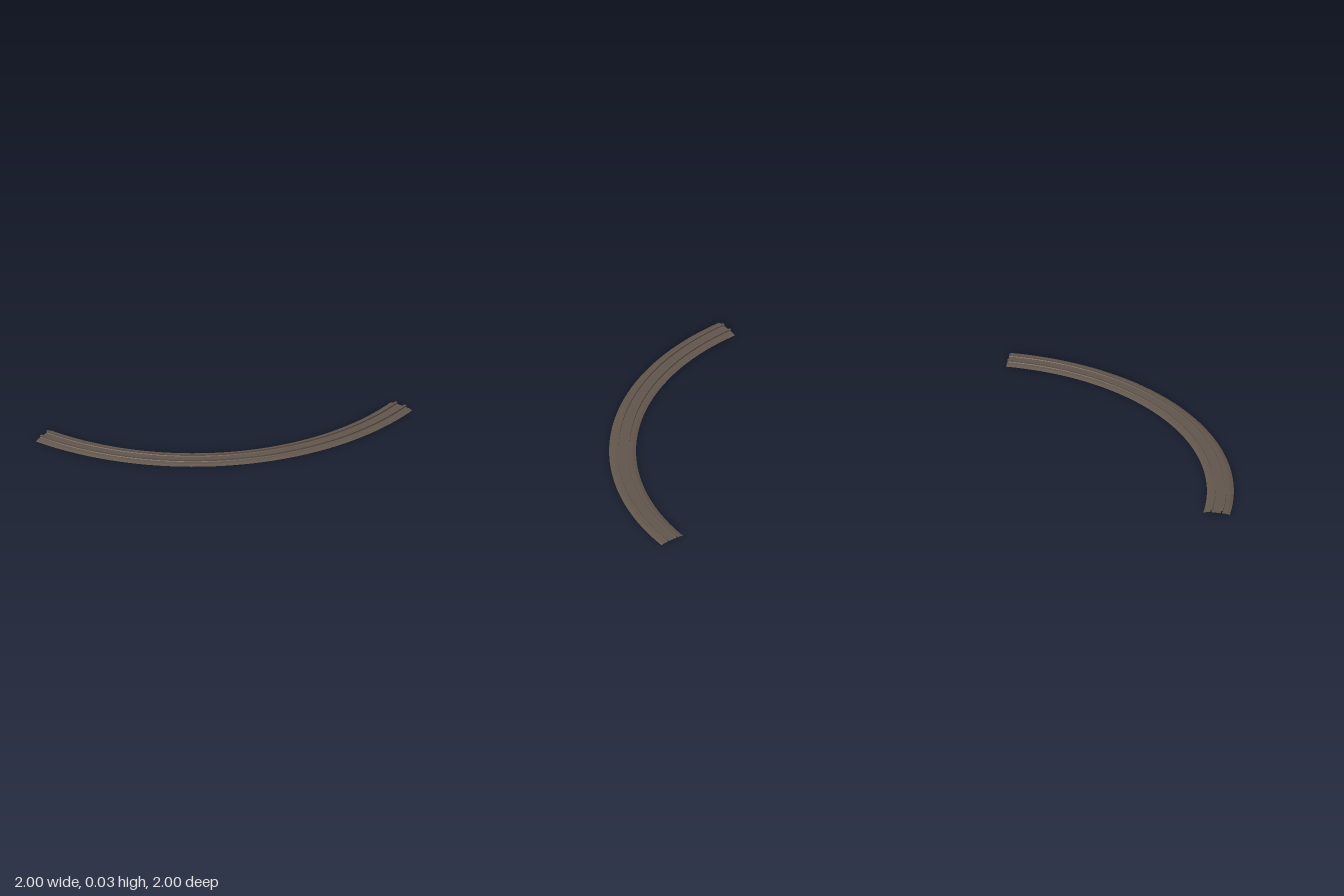
import * as THREE from 'three';
import { mergeGeometries } from 'three/addons/utils/BufferGeometryUtils.js';

const SEGMENTS = 64;

// Sweep a [radius, height] profile through a quarter circle, with crisp edges along the profile
function sweep(profile) {
  const strips = [];
  for (let i = 0; i < profile.length - 1; i++) {
    const pts = [profile[i], profile[i + 1]].map(([r, y]) => new THREE.Vector2(r, y));
    strips.push(new THREE.LatheGeometry(pts, SEGMENTS, 0, Math.PI / 2));
  }
  return mergeGeometries(strips);
}

// Rail section, from outer foot over the head to inner foot
function railProfile(r) {
  const head = 0.0085, web = 0.004, foot = 0.0085;
  const outer = [[foot, 0.01], [web, 0.013], [web, 0.017], [head, 0.019], [head, 0.028]];
  const inner = outer.map(([x, y]) => [-x, y]).reverse();
  return [...outer, ...inner].map(([x, y]) => [r + x, y]);
}

export function createModel() {
  const group = new THREE.Group();
  const brown = new THREE.MeshStandardMaterial({ color: 0x62564c, side: THREE.DoubleSide });
  brown.name = 'dark brown';

  const add = (name, profile) => {
    const mesh = new THREE.Mesh(sweep(profile), brown);
    mesh.name = name;
    mesh.position.set(-1, 0, -1); // centre of the curve
    group.add(mesh);
  };

  // Roadbed: sloping shoulders and the flat strip between the rails
  add('outerShoulder', [[2.0, 0], [1.975, 0.008], [1.9465, 0.01]]);
  add('outerRail', railProfile(1.938));
  add('middleBed', [[1.9295, 0.01], [1.8665, 0.01]]);
  add('innerRail', railProfile(1.858));
  add('innerShoulder', [[1.8495, 0.01], [1.825, 0.008], [1.8, 0]]);

  return group;
}
